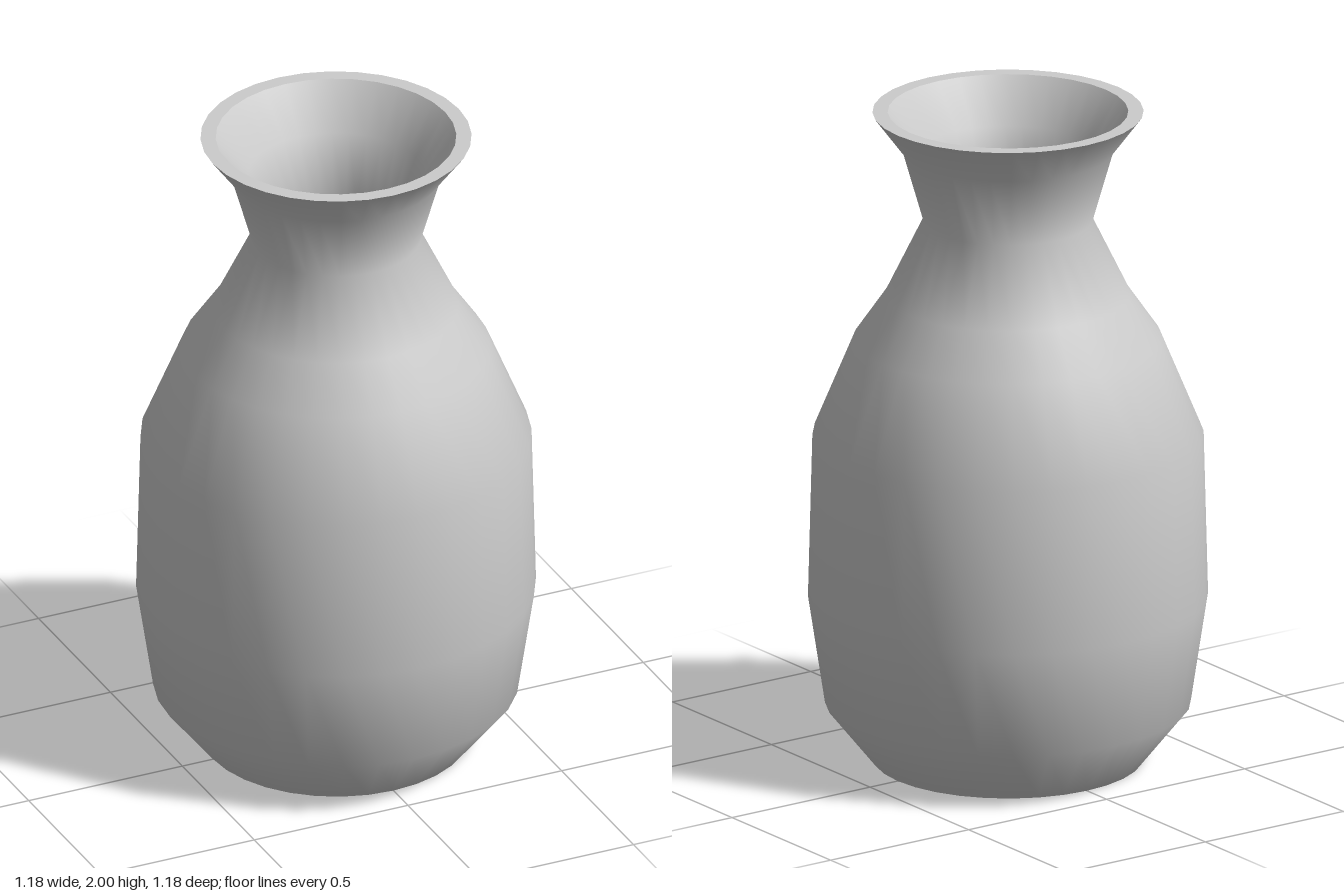
import * as THREE from 'three';

const SEGMENTS = 32;

export function createModel() {
  const vase = new THREE.Group();
  vase.name = 'vase';
  const material = new THREE.MeshStandardMaterial({ color: 0xcccccc });

  // Each [radius, height] profile is its own lathe, so edges between parts stay sharp
  function addLathe(name, profile) {
    const points = profile.map(([r, y]) => new THREE.Vector2(r, y));
    const mesh = new THREE.Mesh(new THREE.LatheGeometry(points, SEGMENTS), material);
    mesh.name = name;
    vase.add(mesh);
  }

  // Flat underside
  addLathe('base', [[0, 0], [0.4, 0]]);

  // Belly, shoulder, neck and flared mouth
  addLathe('outerWall', [
    [0.4, 0], [0.54, 0.175], [0.59, 0.505], [0.577, 1.005], [0.455, 1.3],
    [0.362, 1.435], [0.25, 1.665], [0.312, 1.882], [0.4, 2],
  ]);

  // Flat lip
  addLathe('rim', [[0.4, 2], [0.355, 2]]);

  // Hollow inside, from mouth down to floor
  addLathe('innerWall', [
    [0.355, 2], [0.26, 1.87], [0.178, 1.665], [0.3, 1.42], [0.4, 1.27],
    [0.515, 0.99], [0.53, 0.515], [0.485, 0.2], [0.37, 0.06],
  ]);

  // Inside bottom
  addLathe('innerFloor', [[0.37, 0.06], [0, 0.06]]);

  return vase;
}
